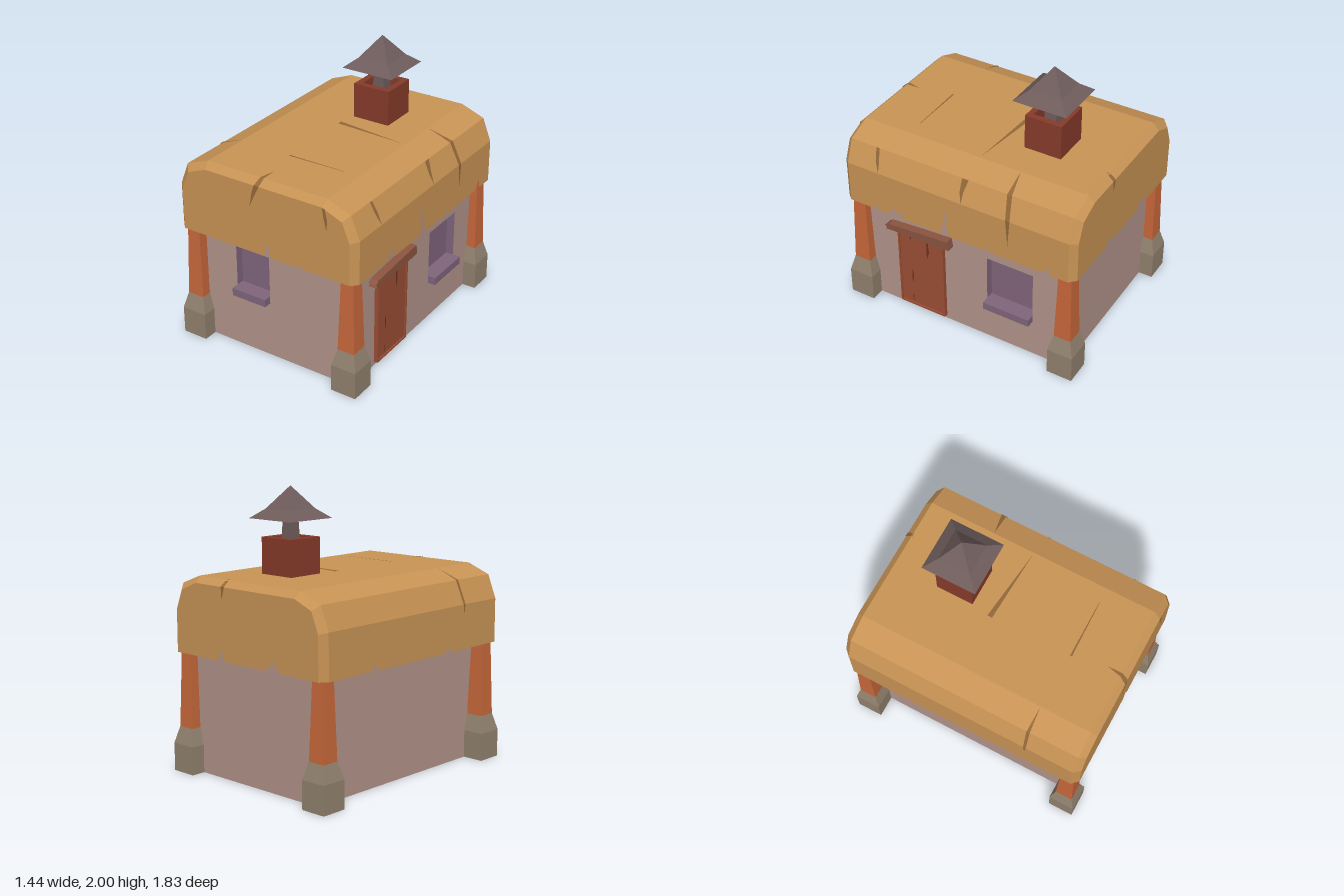
import * as THREE from 'three';

const mat = (color, side = THREE.FrontSide) =>
  new THREE.MeshStandardMaterial({ color, side, flatShading: true });
const THATCH = mat(0xc99455, THREE.DoubleSide);
const CRACK = mat(0x94683a, THREE.DoubleSide);
const WALL = mat(0xb3948a);
const WOOD = mat(0xc8683b);
const STONE = mat(0x92826f);
const DOOR = mat(0x9c4e35);
const DOOR_DARK = mat(0x6a3122, THREE.DoubleSide);
const LINTEL = mat(0x8c5540);
const WINDOW = mat(0x80657c);
const WINDOW_IN = mat(0x80657c, THREE.BackSide);
const BRICK = mat(0x873b2a);
const METAL = mat(0x6f5d5c);
const FLOOR = mat(0x7a4030);

const HALF = Math.PI / 2;
// Facing angles; in panel space u runs to the viewer's right of each side
const FRONT = 0, RIGHT = HALF, BACK = Math.PI, LEFT = -HALF;

const outline = (pts) => pts.map(([x, y]) => new THREE.Vector2(x, y));
const rect = (a, b, c, d) => [[a, b], [c, b], [c, d], [a, d]];

function shapeOf(pts, hole) {
  const s = new THREE.Shape(outline(pts));
  if (hole) s.holes.push(new THREE.Path(outline(hole)));
  return s;
}

// Push a geometry out by d, then turn it to face one of the four sides
const face = (geo, angle, d) => geo.translate(0, 0, d).rotateY(angle);

// Square, stepped column from [halfWidth, y] pairs
function squareTower(profile) {
  const pts = profile.map(([h, y]) => new THREE.Vector2(h * Math.SQRT2, y));
  return new THREE.LatheGeometry(pts, 4, Math.PI / 4);
}

// Strips of quads between two equal-length loops of 3D points
function strips(a, b, keep = () => true) {
  const v = [];
  for (let i = 0; i < a.length - 1; i++) {
    if (keep(i)) v.push(...a[i], ...b[i], ...b[i + 1], ...a[i], ...b[i + 1], ...a[i + 1]);
  }
  const g = new THREE.BufferGeometry();
  g.setAttribute('position', new THREE.Float32BufferAttribute(v, 3));
  g.computeVertexNormals();
  return g;
}

// Tapering split: path points [x, y, z, halfWidth] spread along one axis
function crack(path, axis) {
  const edge = (s) => path.map((p) => [0, 1, 2].map((k) => p[k] + (k === axis ? s * p[3] : 0)));
  return strips(edge(-1), edge(1));
}

export function createModel() {
  const model = new THREE.Group();
  const add = (name, geo, material, parent = model) => {
    const m = new THREE.Mesh(geo, material);
    m.name = name;
    parent.add(m);
    return m;
  };
  const group = (name) => {
    const g = new THREE.Group();
    g.name = name;
    model.add(g);
    return g;
  };

  // Walls, with openings for the two windows
  const TOP = 1.12, XR = 0.62, XL = 0.565, Z = 0.81;
  const frontHole = rect(-0.31, 0.42, -0.035, 0.78);
  const sideHole = rect(0.19, 0.29, 0.55, 0.7);
  const walls = group('walls');
  const wall = (name, a, b, angle, d, hole) =>
    add(name, face(new THREE.ShapeGeometry(shapeOf(rect(a, 0, b, TOP), hole)), angle, d), WALL, walls);
  wall('frontWall', -XL, XR, FRONT, Z, frontHole);
  wall('rightWall', -Z, Z, RIGHT, XR, sideHole);
  wall('backWall', -XR, XL, BACK, Z);
  wall('leftWall', -Z, Z, LEFT, XL);
  add('floor', new THREE.PlaneGeometry(XL + XR, 2 * Z).rotateX(HALF).translate((XR - XL) / 2, 0, 0), FLOOR);

  // Recessed windows with projecting sills
  const windowAt = (name, hole, angle, d) => {
    const g = group(name), [[x0, y0], , [x1, y1]] = hole, cx = (x0 + x1) / 2, depth = 0.06;
    const niche = new THREE.BoxGeometry(x1 - x0, y1 - y0, depth).translate(cx, (y0 + y1) / 2, -depth / 2);
    add('windowRecess', face(niche, angle, d), WINDOW_IN, g);
    const sill = new THREE.BoxGeometry(x1 - x0, 0.056, 0.115).translate(cx, y0 + 0.028, 0.0005);
    add('windowSill', face(sill, angle, d), WINDOW, g);
  };
  windowAt('frontWindow', frontHole, FRONT, Z);
  windowAt('sideWindow', sideHole, RIGHT, XR);

  // Door: thin frame, planks, splits and a crooked lintel
  const door = group('door');
  const extrude = (shape, depth) => new THREE.ExtrudeGeometry(shape, { depth, bevelEnabled: false });
  const frame = shapeOf(rect(-0.525, 0.03, -0.15, 0.685), rect(-0.513, 0.045, -0.162, 0.665));
  add('doorFrame', face(extrude(frame, 0.03), RIGHT, XR), DOOR, door);
  add('doorPanel', face(extrude(shapeOf(rect(-0.515, 0.04, -0.16, 0.67)), 0.02), RIGHT, XR), DOOR, door);
  const dx = XR + 0.022;
  [
    [[dx, 0.665, 0.43, 0.012], [dx, 0.62, 0.42, 0]],
    [[dx, 0.37, 0.42, 0], [dx, 0.3, 0.417, 0.008], [dx, 0.22, 0.422, 0]],
    [[dx, 0.12, 0.42, 0.004], [dx, 0.06, 0.42, 0.003]],
    [[dx, 0.665, 0.285, 0.006], [dx, 0.57, 0.28, 0.01], [dx, 0.5, 0.29, 0]],
  ].forEach((p) => add('doorSplit', crack(p, 2), DOOR_DARK, door));
  const lintel = shapeOf([[-0.6, 0.677], [-0.52, 0.682], [-0.15, 0.685], [-0.08, 0.69],
    [-0.092, 0.76], [-0.3, 0.747], [-0.575, 0.726], [-0.607, 0.705], [-0.59, 0.695]]);
  add('doorLintel', face(extrude(lintel, 0.065), RIGHT, XR - 0.005), LINTEL, door);

  // Corner posts on stone footings
  for (const x of [-0.627, 0.627]) for (const z of [-0.82, 0.82]) {
    const post = group('cornerPost');
    post.position.set(x, 0, z);
    add('footing', squareTower([[0.095, 0], [0.095, 0.2], [0.064, 0.32], [0, 0.32]]), STONE, post);
    add('footingUnderside', new THREE.PlaneGeometry(0.19, 0.19).rotateX(HALF), FLOOR, post);
    add('post', squareTower([[0.064, 0.31], [0.047, 0.9], [0, 0.9]]), WOOD, post);
  }

  // Thatch roof: bevelled shell, open below, with a ragged lower edge
  const roof = group('roof');
  const EAVE = 0.855, ZI = 0.86, ZO = 0.907, XO = 0.715;
  const mirrored = (half) => [...half, ...half.map(([x, y]) => [-x, y]).reverse()];
  const outer = mirrored([[XO, EAVE], [XO, 1.17], [0.65, 1.335], [0.475, 1.402]]);
  const inner = mirrored([[0.67, EAVE], [0.67, 1.157], [0.612, 1.297], [0.465, 1.357]]);
  const at = (loop, z) => loop.map(([x, y]) => [x, y, z]);
  const isSide = (i) => i === 0 || i === outer.length - 2;
  add('roofTop', strips(at(outer, ZI), at(outer, -ZI), (i) => !isSide(i)), THATCH, roof);
  add('frontBevel', strips(at(inner, ZO), at(outer, ZI)), THATCH, roof);
  add('backBevel', strips(at(outer, -ZI), at(inner, -ZO)), THATCH, roof);

  // Upright roof faces; notches are listed left to right along the eave
  const frontNotches = [[0, EAVE], [0.022, 0.945], [0.035, 0.93], [0.057, EAVE],
    [0.285, EAVE], [0.288, 0.885], [0.298, 0.87], [0.315, EAVE]];
  const backNotches = [[-0.25, EAVE], [-0.225, 0.95], [-0.195, EAVE],
    [0.2, EAVE], [0.22, 0.9], [0.24, 0.875], [0.26, 0.945], [0.28, 0.875], [0.31, 0.9], [0.325, EAVE]];
  const rightNotches = [[-0.65, EAVE], [-0.638, 0.915], [-0.628, EAVE],
    [-0.555, EAVE], [-0.51, 0.885], [-0.49, 0.93], [-0.47, 0.885], [-0.41, 0.905], [-0.45, EAVE],
    [-0.105, EAVE], [-0.085, 1.06], [-0.063, 1.01], [-0.073, 0.93], [-0.037, EAVE],
    [0.225, EAVE], [0.247, 0.89], [0.262, EAVE], [0.66, EAVE], [0.715, 0.915], [0.725, EAVE]];
  const leftNotches = [[-0.45, EAVE], [-0.43, 0.91], [-0.4, EAVE], [0.3, EAVE], [0.33, 0.9], [0.36, EAVE]];
  const cover = (name, upper, notches, angle, d) => {
    const w = upper[0][0];
    const shape = shapeOf([[-w, EAVE], ...notches, [w, EAVE], ...upper]);
    add(name, face(new THREE.ShapeGeometry(shape), angle, d), THATCH, roof);
  };
  cover('roofFront', inner.slice(1, -1), frontNotches, FRONT, ZO);
  cover('roofBack', inner.slice(1, -1), backNotches, BACK, ZO);
  cover('roofRight', [[ZI, 1.17], [-ZI, 1.17]], rightNotches, RIGHT, XO);
  cover('roofLeft', [[ZI, 1.17], [-ZI, 1.17]], leftNotches, LEFT, XO);

  // Splits in the thatch
  const t = 1.405, sx = XO + 0.003, fz = ZO + 0.003;
  [
    [[[0.654, 1.337, 0.64, 0.012], [0.69, 1.25, 0.625, 0.014], [sx, 1.172, 0.607, 0]], 2],
    [[[0.654, 1.337, -0.055, 0.025], [0.69, 1.25, -0.045, 0.014], [sx, 1.172, -0.052, 0]], 2],
    [[[0.478, t, -0.37, 0], [0.654, 1.337, -0.39, 0.018], [sx, 1.172, -0.41, 0.016], [sx, 0.965, -0.41, 0]], 2],
    [[[-0.48, t, 0.49, 0], [-0.654, 1.337, 0.492, 0.012], [-sx, 1.172, 0.5, 0.01], [-sx, 1.1, 0.5, 0]], 2],
    [[[-0.08, t, -0.105, 0.018], [0.46, t, -0.06, 0]], 2],
    [[[-0.07, t, 0.505, 0.007], [0.36, t, 0.5, 0.002]], 2],
    [[[-0.018, t, 0.75, 0], [-0.03, t, ZI, 0.014], [-0.045, 1.36, fz, 0.02], [-0.07, 1.3, fz, 0.014], [-0.105, 1.195, fz, 0]], 0],
    [[[0.475, 1.354, fz, 0.01], [0.49, 1.28, fz, 0.012], [0.5, 1.19, fz, 0]], 0],
    [[[0.2, t, -0.855, 0.012], [0.2, 1.36, -fz, 0.016], [0.21, 1.27, -fz, 0]], 0],
  ].forEach(([path, axis]) => add('thatchSplit', crack(path, axis), CRACK, roof));

  // Chimney: hollow block, flue and pyramid cowl
  const chimney = group('chimney');
  chimney.position.set(0.085, 0, -0.387);
  const block = shapeOf(rect(-0.14, -0.137, 0.14, 0.137), rect(-0.095, -0.095, 0.095, 0.095));
  add('chimneyBlock', extrude(block, 0.27).rotateX(-HALF).translate(0, 1.385, 0), BRICK, chimney);
  add('flue', squareTower([[0.055, 1.4], [0.037, 1.79]]), METAL, chimney);
  add('cowl', squareTower([[0, 1.78], [0.198, 1.78], [0.118, 1.845], [0, 2]]), METAL, chimney);

  return model;
}
